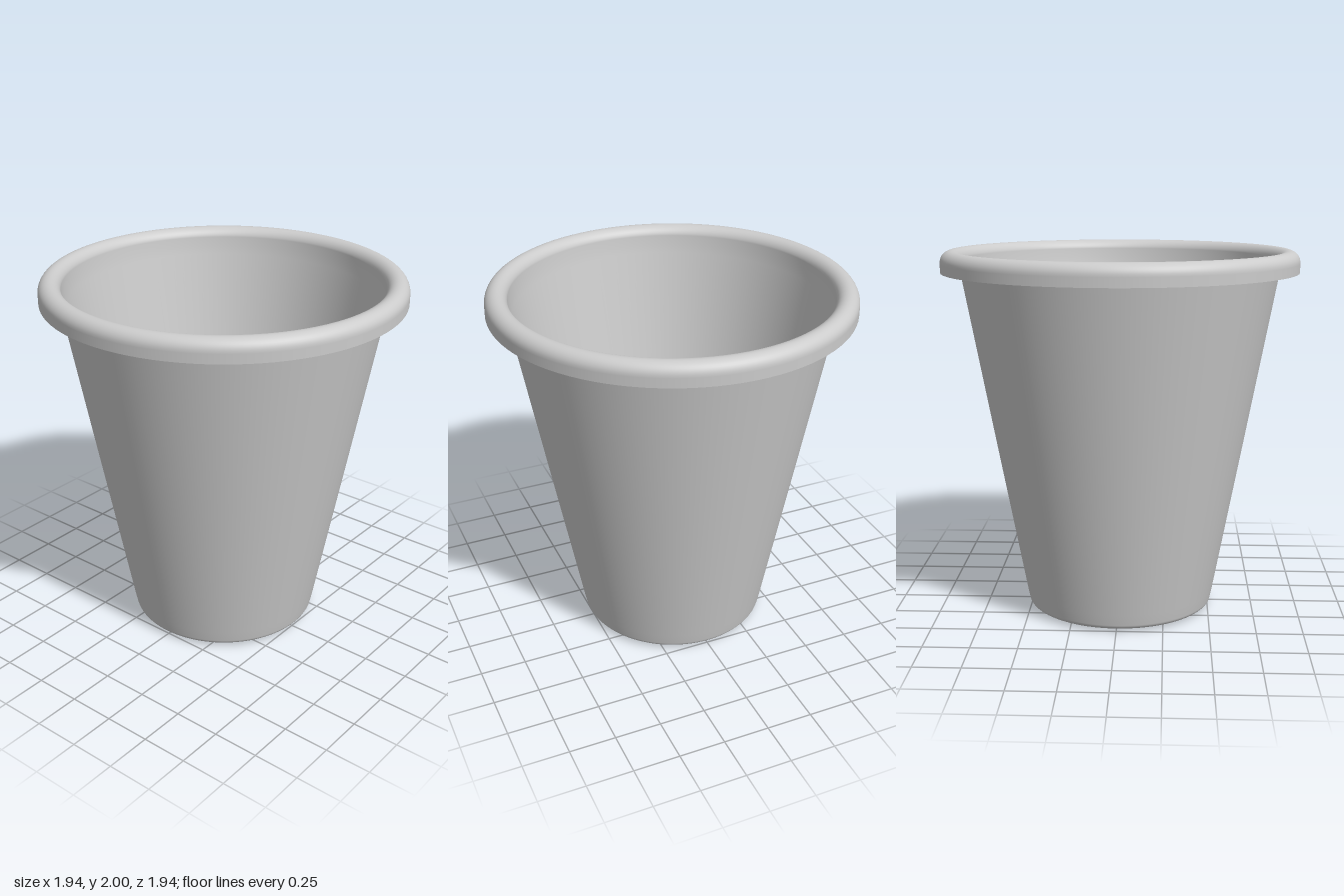
import * as THREE from 'three';

const SEGMENTS = 96;

// Rounded corner points on an ellipse, angles in degrees
function arc(cx, cy, rx, ry, from, to, steps = 8) {
  return Array.from({ length: steps + 1 }, (_, i) => {
    const a = THREE.MathUtils.degToRad(from + (to - from) * i / steps);
    return [cx + rx * Math.cos(a), cy + ry * Math.sin(a)];
  });
}

export function createModel() {
  const cup = new THREE.Group();
  cup.name = 'cup';
  const material = new THREE.MeshStandardMaterial({ color: 0xcccccc, side: THREE.DoubleSide });

  // Each smooth stretch of the profile is its own lathe, so edges between them stay sharp
  function turn(name, profile) {
    const points = profile.map(([r, y]) => new THREE.Vector2(r, y));
    const mesh = new THREE.Mesh(new THREE.LatheGeometry(points, SEGMENTS), material);
    mesh.name = name;
    cup.add(mesh);
  }

  // Slightly domed base rounding into the tapered outer wall
  turn('outerWall', [
    [0, 0], [0.16, 0.002], [0.35, 0.007], [0.46, 0.012],
    ...arc(0.488, 0.045, 0.03, 0.031, -80, -10, 6),
    [0.53, 0.1], [0.69, 0.96], [0.861, 1.885], [0.868, 1.925],
  ]);

  // Hollow underside of the curled lip
  turn('lipUnderside', [
    ...arc(0.91, 1.925, 0.042, 0.055, 180, 0, 12),
    [0.955, 1.885],
  ]);
  turn('lipEdge', [[0.955, 1.885], [0.968, 1.885]]);

  // Rolled rim over the top, running into the inner wall
  turn('rimAndInnerWall', [
    [0.968, 1.885], [0.968, 1.935],
    ...arc(0.908, 1.94, 0.06, 0.06, 0, 170, 18),
    [0.845, 1.9], [0.835, 1.85], [0.67, 0.96], [0.49, 0.03],
  ]);

  // Inside floor
  turn('floor', [[0.49, 0.03], [0, 0.03]]);

  return cup;
}
